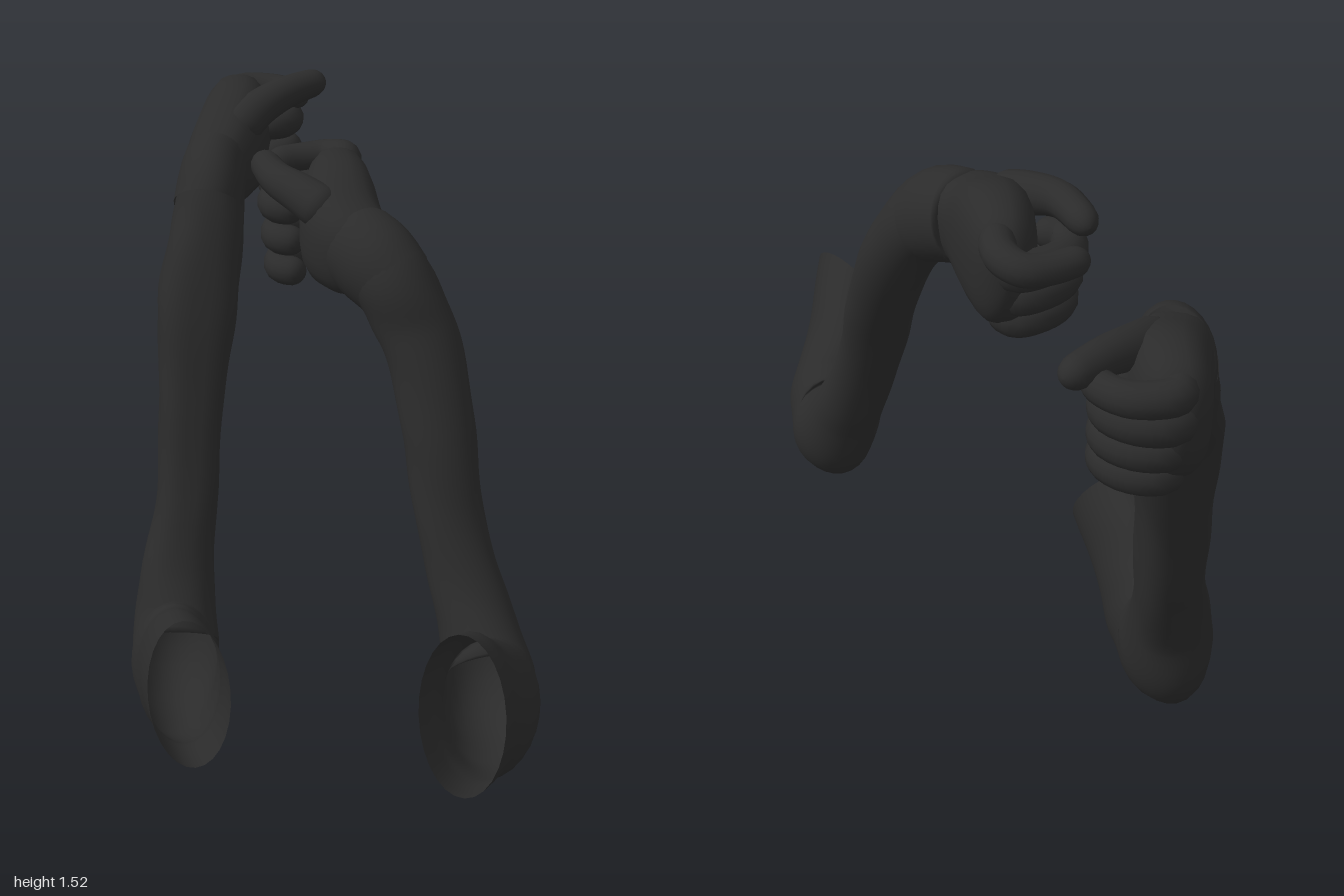
import * as THREE from 'three';

const fabric = new THREE.MeshStandardMaterial({ color: 0x2b2b2b });
fabric.name = 'charcoal fabric';
fabric.side = THREE.DoubleSide;

const X = new THREE.Vector3(1, 0, 0);
const Y = new THREE.Vector3(0, 1, 0);

// Lofts elliptical sections [x, y, z, radius along ref, other radius, boxiness] into a smooth skin.
// round closes both ends with domes, fold adds cloth creases,
// mouth [side, under] slants the open first end backwards along the path.
function loft(name, sections, { ref = Y, steps = 24, sides = 20, round = false, fold = 0, mouth = [0, 0] } = {}) {
  const path = new THREE.CatmullRomCurve3(sections.map(s => new THREE.Vector3(s[0], s[1], s[2])));
  const radii = new THREE.CatmullRomCurve3(sections.map(s => new THREE.Vector3(s[3], s[4], s[5] ?? 0)));
  const pos = [], idx = [];
  const length = path.getLength();
  for (let i = 0; i <= steps; i++) {
    let t = i / steps;
    if (round) t = (1 - Math.cos(Math.PI * t)) / 2; // denser rings near the domes
    const c = path.getPoint(t), T = path.getTangent(t), r = radii.getPoint(t);
    const s = ref.clone().addScaledVector(T, -ref.dot(T)).normalize();
    const u = T.clone().cross(s);
    const slant = Math.max(0, 1 - t * 6);
    let k = 1;
    if (round) {
      const d = Math.min(t, 1 - t) * length / Math.min(r.x, r.y);
      k = d < 1 ? Math.sqrt(Math.max(0, 1 - (1 - d) ** 2)) : 1;
      k = Math.max(k, 0.001);
    }
    for (let j = 0; j < sides; j++) {
      const a = j / sides * Math.PI * 2, ca = Math.cos(a), sa = Math.sin(a);
      const box = 1 + r.z * Math.sin(2 * a) ** 2;
      const crease = 1 + fold * Math.sin(t * 34 + 2 * Math.sin(a + 1)) * Math.sin(Math.PI * t)
        + fold * 0.6 * Math.sin(t * 61 + 3 * a) * Math.min(1, t * 5);
      const p = c.clone().addScaledVector(s, ca * r.x * k * box * crease)
        .addScaledVector(u, sa * r.y * k * box * crease)
        .addScaledVector(T, -slant * (mouth[0] * ca + mouth[1] * sa));
      pos.push(p.x, p.y, p.z);
    }
  }
  for (let i = 0; i < steps; i++) for (let j = 0; j < sides; j++) {
    const a = i * sides + j, b = i * sides + (j + 1) % sides;
    idx.push(a, b, b + sides, a, b + sides, a + sides);
  }
  const g = new THREE.BufferGeometry();
  g.setAttribute('position', new THREE.Float32BufferAttribute(pos, 3));
  g.setIndex(idx);
  g.computeVertexNormals();
  const mesh = new THREE.Mesh(g, fabric);
  mesh.name = name;
  return mesh;
}

const finger = (name, pts, r, taper = 0.05) => loft(name,
  pts.map((p, i) => [...p, r * (1 - taper * i), r * (1 - taper * i)]),
  { round: true, sides: 14, steps: 28 });

function arm(name, d) {
  const g = new THREE.Group();
  g.name = name;
  g.add(loft('sleeve', d.sleeve, { ref: X, steps: 70, sides: 28, fold: 0.024, mouth: d.mouth }));
  g.add(loft('cuff', d.cuff, { ref: X, steps: 10, sides: 28 }));
  g.add(loft('palm', d.palm, { round: true, steps: 32, sides: 24 }));
  g.add(finger('indexFinger', d.index, 0.042));
  ['middleFinger', 'ringFinger', 'littleFinger'].forEach((n, i) => {
    const y = d.fingerHeights[i];
    g.add(finger(n, d.curl.map(([x, z]) => [x * (1 - 0.06 * i), y, z + 0.018 * i]), 0.049 - 0.002 * i));
  });
  g.add(finger('thumb', d.thumb, 0.056, 0.13));
  return g;
}

export function createModel() {
  const model = new THREE.Group();
  model.name = 'armPair';

  model.add(arm('rightArm', {
    mouth: [0, 0.04],
    sleeve: [
      [-0.33, 0.315, 0.18, 0.1, 0.172],
      [-0.33, 0.252, 0, 0.1, 0.17],
      [-0.325, 0.185, -0.14, 0.108, 0.175],
      [-0.32, 0.18, -0.245, 0.112, 0.165],
      [-0.3, 0.33, -0.328, 0.098, 0.1, 0.04],
      [-0.262, 0.55, -0.4, 0.077, 0.088, 0.12],
      [-0.235, 0.8, -0.462, 0.08, 0.088, 0.16],
      [-0.21, 1.02, -0.515, 0.098, 0.09, 0.14],
      [-0.17, 1.2, -0.59, 0.092, 0.108, 0.08],
      [-0.147, 1.325, -0.65, 0.081, 0.112, 0.04],
    ],
    cuff: [
      [-0.165, 1.265, -0.595, 0.088, 0.115],
      [-0.149, 1.315, -0.637, 0.086, 0.118],
      [-0.128, 1.345, -0.69, 0.083, 0.114],
      [-0.125, 1.348, -0.695, 0.06, 0.08],
    ],
    palm: [
      [-0.16, 1.31, -0.61, 0.09, 0.07, 0.1],
      [-0.105, 1.345, -0.72, 0.118, 0.088, 0.1],
      [-0.055, 1.365, -0.84, 0.148, 0.088, 0.1],
      [-0.03, 1.36, -0.98, 0.13, 0.062, 0.1],
    ],
    index: [[-0.05, 1.45, -0.9], [-0.02, 1.455, -0.955], [0.06, 1.455, -0.94], [0.1, 1.455, -0.89], [0.11, 1.46, -0.84]],
    fingerHeights: [1.395, 1.32, 1.248],
    curl: [[-0.05, -0.88], [-0.02, -0.955], [0.05, -0.935], [0.085, -0.88], [0.06, -0.83], [-0.01, -0.815]],
    thumb: [[-0.09, 1.41, -0.7], [-0.01, 1.455, -0.77], [0.07, 1.48, -0.82], [0.18, 1.49, -0.885]],
  }));

  model.add(arm('leftArm', {
    mouth: [0.08, 0.045],
    sleeve: [
      [0.172, 0.64, 0.865, 0.108, 0.168],
      [0.24, 0.56, 0.72, 0.104, 0.165],
      [0.305, 0.49, 0.6, 0.11, 0.145],
      [0.33, 0.475, 0.485, 0.105, 0.125],
      [0.315, 0.6, 0.387, 0.088, 0.084],
      [0.27, 0.8, 0.3, 0.08, 0.063],
      [0.257, 1.0, 0.222, 0.085, 0.072],
      [0.222, 1.2, 0.133, 0.09, 0.078],
      [0.17, 1.31, 0.07, 0.092, 0.1],
      [0.125, 1.345, -0.01, 0.088, 0.106],
    ],
    cuff: [
      [0.18, 1.3, 0.08, 0.092, 0.1],
      [0.145, 1.335, 0.03, 0.1, 0.11],
      [0.115, 1.355, -0.025, 0.096, 0.106],
      [0.113, 1.356, -0.03, 0.06, 0.08],
    ],
    palm: [
      [0.145, 1.335, 0.05, 0.09, 0.07, 0.1],
      [0.09, 1.355, -0.07, 0.115, 0.095, 0.1],
      [0.097, 1.37, -0.2, 0.145, 0.088, 0.1],
      [0.125, 1.365, -0.36, 0.125, 0.056, 0.1],
    ],
    index: [[0.12, 1.46, -0.27], [0.14, 1.455, -0.37], [0.11, 1.445, -0.42], [0.05, 1.44, -0.425], [-0.04, 1.44, -0.405]],
    fingerHeights: [1.39, 1.317, 1.247],
    curl: [[0.12, -0.26], [0.1, -0.335], [0.03, -0.335], [-0.035, -0.295], [-0.045, -0.23], [0.01, -0.19]],
    thumb: [[0.06, 1.42, -0.06], [0, 1.45, -0.13], [-0.045, 1.465, -0.2], [-0.065, 1.47, -0.345]],
  }));

  return model;
}
